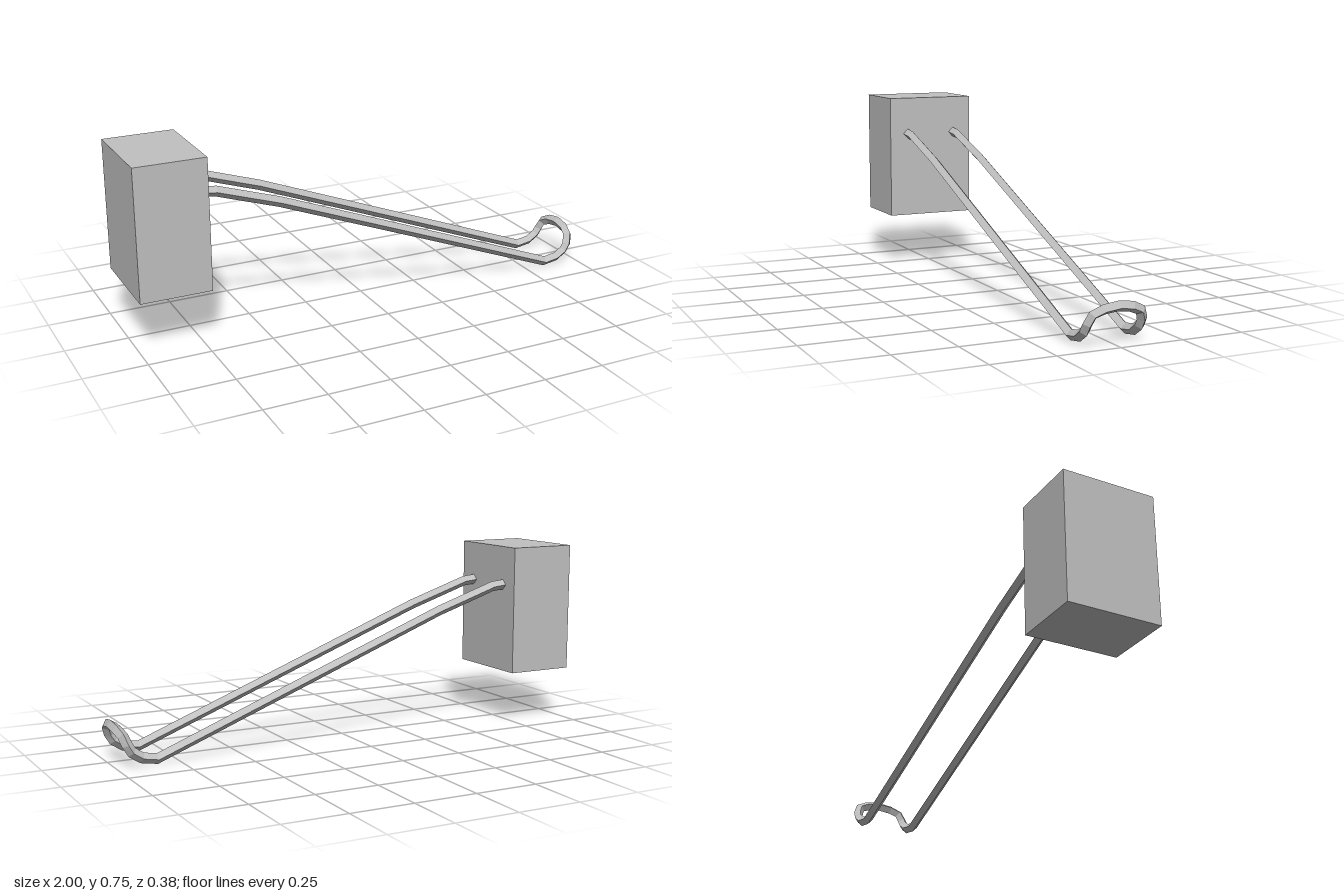
import * as THREE from 'three';

export function createModel() {
  const model = new THREE.Group();
  const grey = new THREE.MeshStandardMaterial({ color: 0xc0c0c0 });
  grey.name = 'light grey metal';
  grey.flatShading = true;

  // Mounting block
  const block = new THREE.Mesh(new THREE.BoxGeometry(0.285, 0.53, 0.384), grey);
  block.name = 'mountingBlock';
  block.position.set(-0.8575, 0.487, 0);
  model.add(block);

  // Half of the bent wire, from the block to the middle of the raised loop
  const half = [
    [-0.73, 0.593, 0.11], [-0.66, 0.586, 0.11], [-0.48, 0.527, 0.11], [-0.4, 0.501, 0.11],
    [0.84, 0.023, 0.11], [0.9, 0.033, 0.11], [0.938, 0.058, 0.11],
    [0.955, 0.085, 0.109], [0.967, 0.119, 0.095], [0.976, 0.137, 0.056], [0.979, 0.145, 0],
  ].map(p => new THREE.Vector3(...p));
  const last = half.length - 1;
  const mirrored = half.slice(0, last).reverse().map(p => new THREE.Vector3(p.x, p.y, -p.z));
  const path = [...half, ...mirrored];

  const direction = (a, b) => b.clone().sub(a).normalize();
  const bisector = (pts, i) => {
    const d = new THREE.Vector3();
    if (i > 0) d.add(direction(pts[i - 1], pts[i]));
    if (i < pts.length - 1) d.add(direction(pts[i], pts[i + 1]));
    return d.normalize();
  };

  // Diamond section at every path point: one axis in the side plane, one across the wire
  const radius = 0.021;
  const rings = path.map((p, i) => {
    const k = Math.min(i, path.length - 1 - i);
    const d = k > 6 ? new THREE.Vector3(0.25, 0.97, 0) : bisector(half, k);
    const n = new THREE.Vector3(d.y, -d.x, 0).normalize();
    const s = new THREE.Vector3().crossVectors(n, bisector(path, i)).normalize();
    return [n, s, n.clone().negate(), s.clone().negate()]
      .map(v => v.clone().multiplyScalar(radius).add(p));
  });

  // Skin between the sections, with both ends closed
  const positions = [];
  const quad = (a, b, c, d) => {
    for (const v of [a, b, c, a, c, d]) positions.push(v.x, v.y, v.z);
  };
  for (let i = 0; i < rings.length - 1; i++) {
    for (let j = 0; j < 4; j++) {
      const j2 = (j + 1) % 4;
      // n x s points back along the wire, so the ring runs clockwise
      quad(rings[i][j], rings[i + 1][j], rings[i + 1][j2], rings[i][j2]);
    }
  }
  quad(...rings[0]);
  quad(...rings[rings.length - 1].slice().reverse());

  const geometry = new THREE.BufferGeometry();
  geometry.setAttribute('position', new THREE.Float32BufferAttribute(positions, 3));
  geometry.computeVertexNormals();
  const wire = new THREE.Mesh(geometry, grey);
  wire.name = 'wireHook';
  model.add(wire);

  return model;
}
